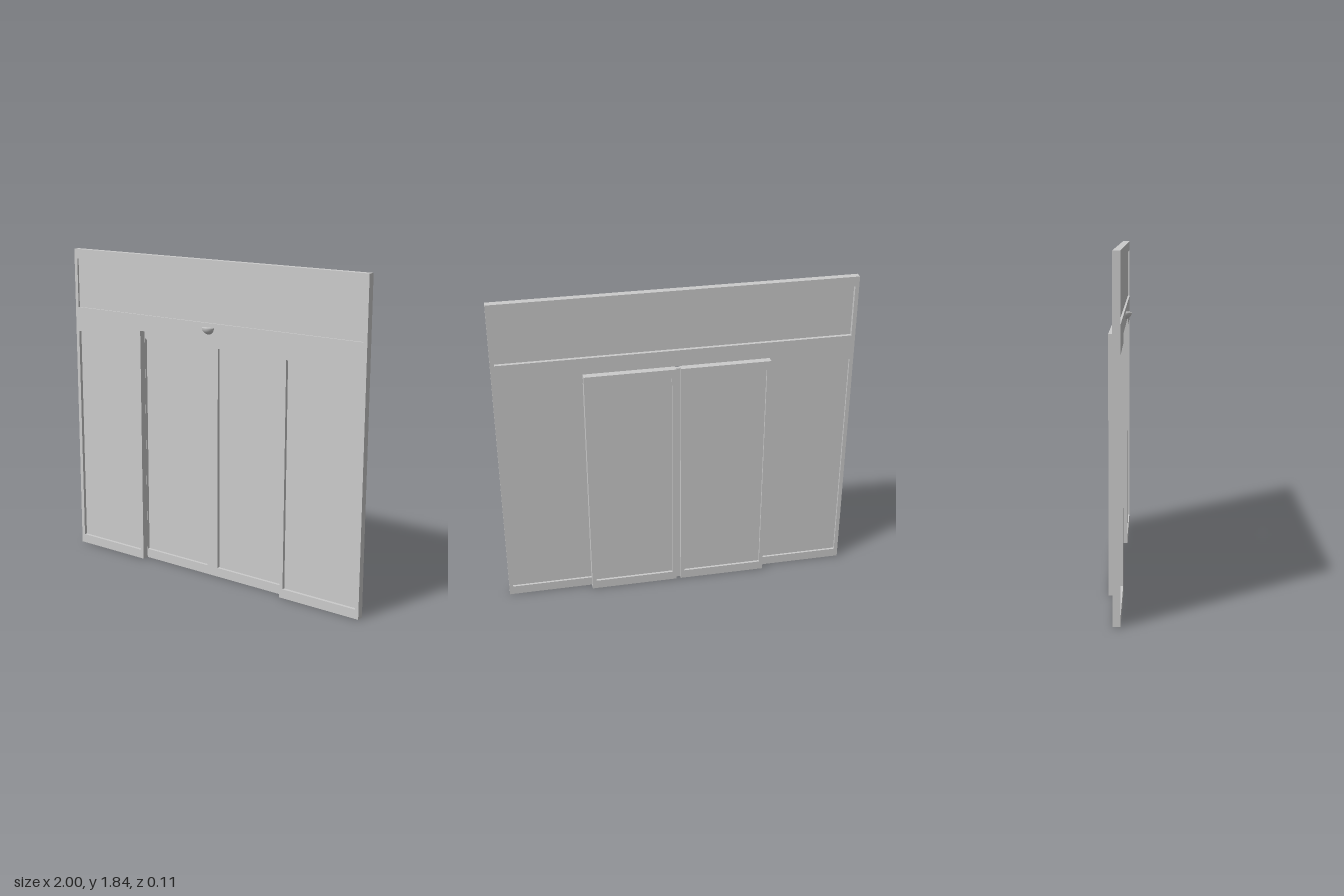
import * as THREE from 'three';

const material = new THREE.MeshStandardMaterial({ color: 0xcccccc, side: THREE.DoubleSide });

function rectPath(target, x0, y0, x1, y1) {
  target.moveTo(x0, y0);
  target.lineTo(x1, y0);
  target.lineTo(x1, y1);
  target.lineTo(x0, y1);
  target.closePath();
  return target;
}

// Box given by its limits on each axis
function box(name, [x0, x1], [y0, y1], [z0, z1]) {
  const mesh = new THREE.Mesh(new THREE.BoxGeometry(x1 - x0, y1 - y0, z1 - z0), material);
  mesh.position.set((x0 + x1) / 2, (y0 + y1) / 2, (z0 + z1) / 2);
  mesh.name = name;
  return mesh;
}

// Rectangular frame around an opening, with a thin pane set into it
function framedPanel(name, xs, ys, zs, holeX, holeY, paneZ) {
  const group = new THREE.Group();
  group.name = name;
  const shape = rectPath(new THREE.Shape(), xs[0], ys[0], xs[1], ys[1]);
  shape.holes.push(rectPath(new THREE.Path(), holeX[0], holeY[0], holeX[1], holeY[1]));
  const geometry = new THREE.ExtrudeGeometry(shape, { depth: zs[1] - zs[0], bevelEnabled: false });
  geometry.translate(0, 0, zs[0]);
  const frame = new THREE.Mesh(geometry, material);
  frame.name = name + 'Frame';
  group.add(frame, box(name + 'Pane', holeX, holeY, paneZ));
  return group;
}

export function createModel() {
  const model = new THREE.Group();
  model.name = 'slidingDoorEntrance';

  const front = [-0.017, 0.022];
  const back = [-0.056, -0.017];
  const doorTop = 1.396;
  const paneY = [0.053, 1.345];

  // Header with a wide transom window
  model.add(framedPanel('header', [-1, 1], [doorTop, 1.836], front,
    [-0.978, 0.978], [1.49, 1.78], [0.003, 0.011]));

  // Fixed side panels in front, sliding doors behind
  for (const [side, s] of [['left', 1], ['right', -1]]) {
    const span = (a, b) => (s > 0 ? [a, b] : [-b, -a]);
    model.add(framedPanel(side + 'FixedPanel', span(0.495, 1), [0, doorTop], front,
      span(0.516, 0.978), paneY, [-0.004, 0.004]));
    model.add(framedPanel(side + 'SlidingDoor', span(0.013, 0.516), [0, doorTop], back,
      span(0.036, 0.494), paneY, [-0.042, -0.034]));
  }

  // Seal closing the gap between the sliding doors
  model.add(box('doorSeal', [-0.013, 0.013], [0, doorTop - 0.004], [-0.036, -0.017]));

  // Half-bowl motion sensor with a flat lid
  const sensor = new THREE.Group();
  sensor.name = 'motionSensor';
  const r = 0.039;
  const bowl = new THREE.Mesh(
    new THREE.SphereGeometry(r, 24, 12, 0, Math.PI, Math.PI / 2, Math.PI / 2), material);
  bowl.name = 'sensorBowl';
  const lid = new THREE.Mesh(new THREE.CircleGeometry(r, 24, Math.PI, Math.PI), material);
  lid.rotation.x = -Math.PI / 2;
  lid.name = 'sensorLid';
  sensor.add(bowl, lid);
  sensor.position.set(0, 1.466, 0.017);
  model.add(sensor);

  return model;
}
